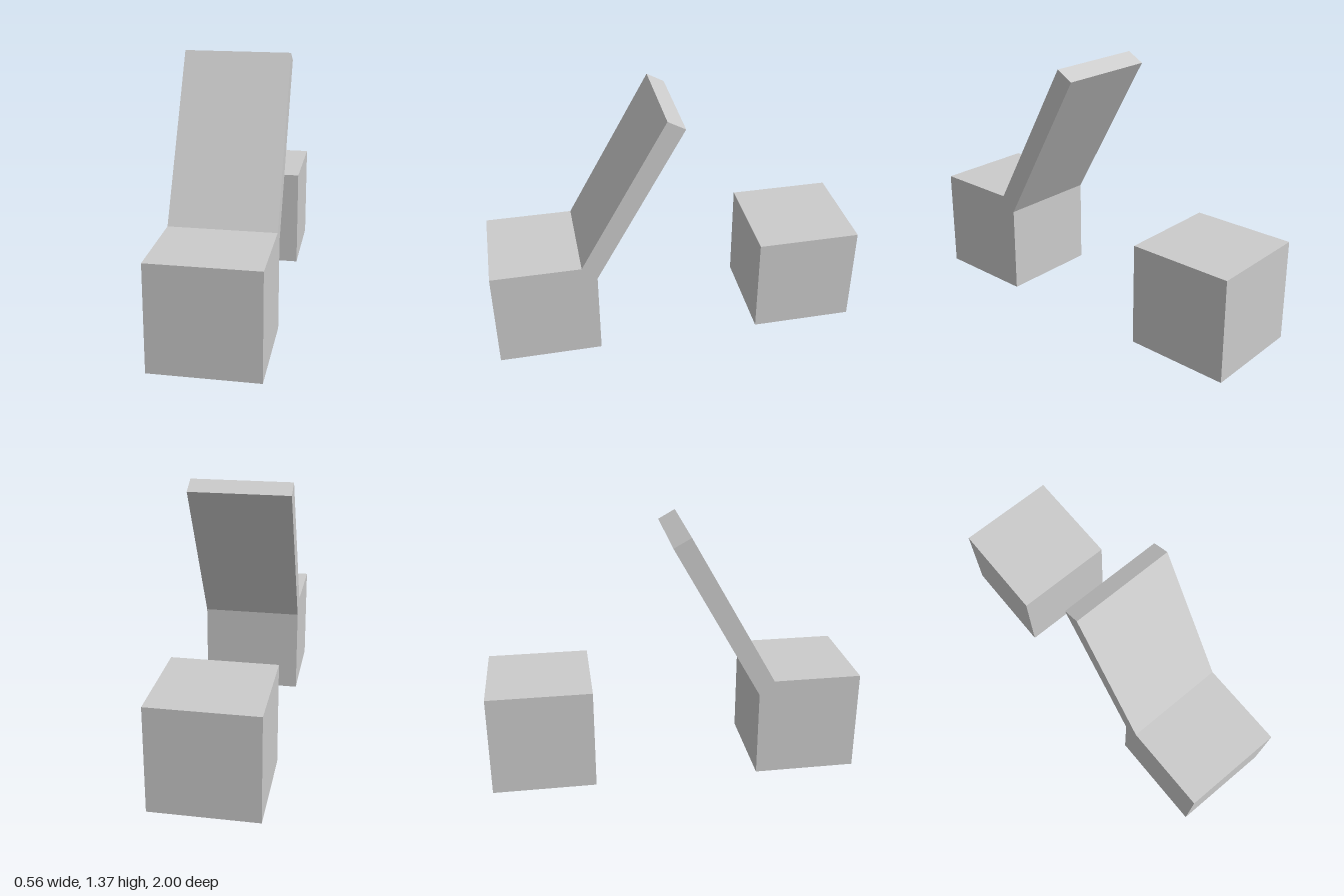
import * as THREE from 'three';

const SIZE = 0.555; // edge of each block and width of the panel

export function createModel() {
  const model = new THREE.Group();
  const material = new THREE.MeshStandardMaterial({ color: 0xcccccc, flatShading: true });

  const add = (name, geometry) => {
    const mesh = new THREE.Mesh(geometry, material);
    mesh.name = name;
    model.add(mesh);
    return mesh;
  };

  // Two equal cubes at the front and back ends
  for (const [name, side] of [['frontBlock', 1], ['rearBlock', -1]]) {
    add(name, new THREE.BoxGeometry(SIZE, SIZE, SIZE))
      .position.set(0, SIZE / 2, side * (1 - SIZE / 2));
  }

  // Leaning panel: side profile in (z, y), wrapped over the front block's rear top edge
  const profile = new THREE.Shape([
    [0.525, SIZE], [0.445, SIZE], [0.445, 0.48], [-0.024, 1.318], [0.068, 1.369],
  ].map(([z, y]) => new THREE.Vector2(z, y)));
  const panel = new THREE.ExtrudeGeometry(profile, { depth: SIZE, bevelEnabled: false });
  panel.translate(0, 0, -SIZE / 2).rotateY(-Math.PI / 2);
  add('leaningPanel', panel);

  return model;
}
